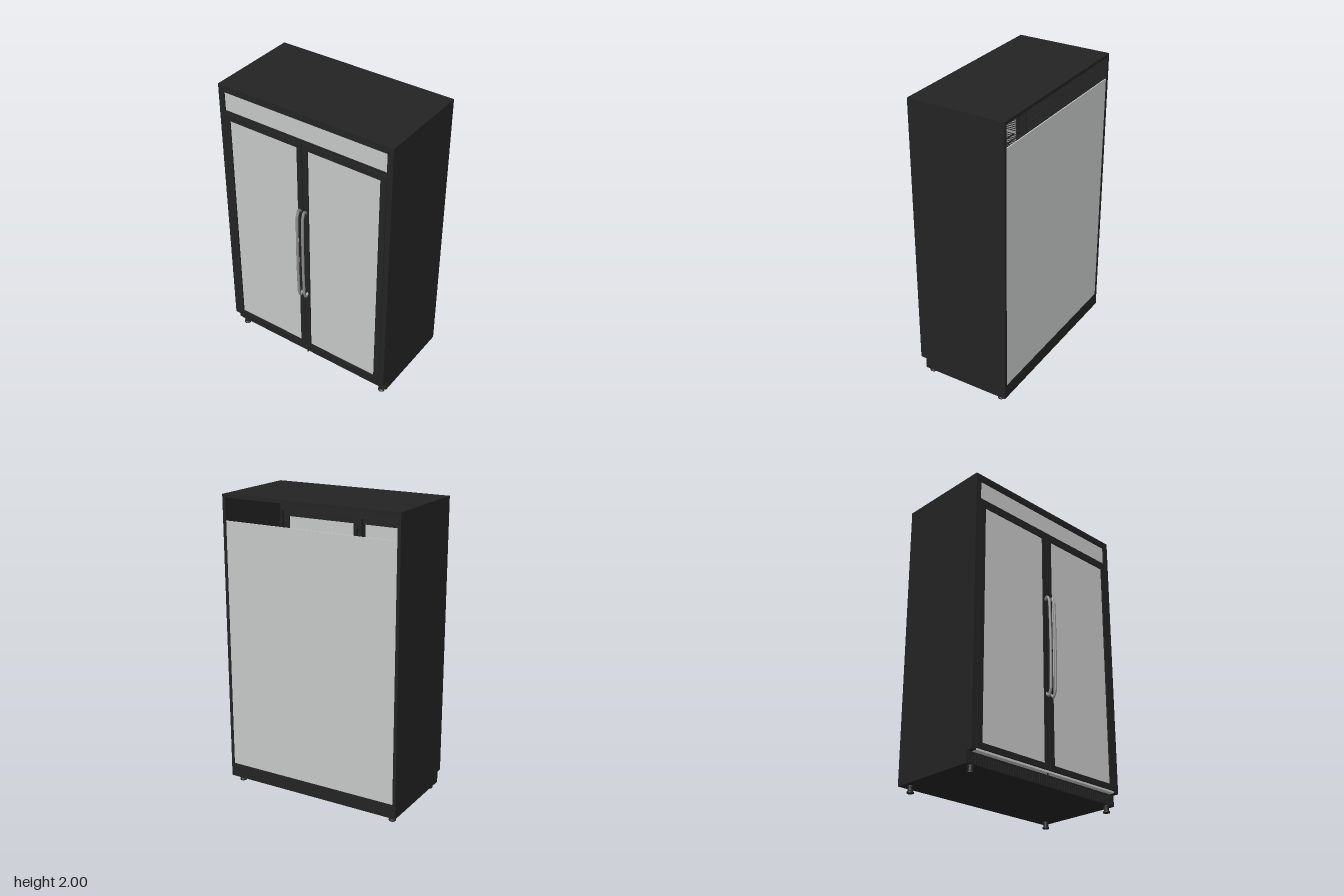
import * as THREE from 'three';

const black = new THREE.MeshStandardMaterial({ color: 0x232323 });
black.name = 'black painted steel';
const pale = new THREE.MeshStandardMaterial({ color: 0xc6c8c7 });
pale.name = 'pale glass and panel';
const steel = new THREE.MeshStandardMaterial({ color: 0x8c8d8b });
steel.name = 'brushed steel';

// Box given by its extents along each axis
function box(parent, name, mat, [x0, x1], [y0, y1], [z0, z1]) {
  const mesh = new THREE.Mesh(new THREE.BoxGeometry(x1 - x0, y1 - y0, z1 - z0), mat);
  mesh.position.set((x0 + x1) / 2, (y0 + y1) / 2, (z0 + z1) / 2);
  mesh.name = name;
  parent.add(mesh);
  return mesh;
}

function group(parent, name) {
  const g = new THREE.Group();
  g.name = name;
  parent.add(g);
  return g;
}

// Rectangular frame with an opening, extruded along z
function frame(parent, name, [x0, x1], [y0, y1], [a0, a1], [b0, b1], [z0, z1]) {
  const shape = new THREE.Shape();
  shape.moveTo(x0, y0).lineTo(x1, y0).lineTo(x1, y1).lineTo(x0, y1).closePath();
  const hole = new THREE.Path();
  hole.moveTo(a0, b0).lineTo(a0, b1).lineTo(a1, b1).lineTo(a1, b0).closePath();
  shape.holes.push(hole);
  const mesh = new THREE.Mesh(
    new THREE.ExtrudeGeometry(shape, { depth: z1 - z0, bevelEnabled: false }), black);
  mesh.position.z = z0;
  mesh.name = name;
  parent.add(mesh);
}

function buildCabinet(root) {
  const g = group(root, 'cabinet');
  // Side walls with a notch for the recessed toe kick
  const side = new THREE.Shape();
  [[-0.36, 0.045], [0.265, 0.045], [0.265, 0.12], [0.305, 0.12], [0.305, 2], [-0.36, 2]]
    .forEach(([z, y], i) => (i ? side.lineTo(-z, y) : side.moveTo(-z, y)));
  const wall = new THREE.ExtrudeGeometry(side, { depth: 0.022, bevelEnabled: false });
  wall.rotateY(Math.PI / 2);
  for (const [x, name] of [[-0.635, 'rightWall'], [0.613, 'leftWall']]) {
    const mesh = new THREE.Mesh(wall, black);
    mesh.position.x = x;
    mesh.name = name;
    g.add(mesh);
  }
  box(g, 'roof', black, [-0.613, 0.613], [1.978, 2], [-0.36, 0.305]);
  box(g, 'base', black, [-0.613, 0.613], [0.045, 0.12], [-0.355, 0.25]);
  box(g, 'backRail', black, [-0.613, 0.613], [0.045, 0.14], [-0.36, -0.34]);
  box(g, 'backPanel', pale, [-0.613, 0.613], [0.14, 1.83], [-0.357, -0.35]);
  // Front surround, centre post and the light sill under the doors
  for (const s of [-1, 1]) {
    const x = [0.6 * s, 0.613 * s].sort((a, b) => a - b);
    box(g, 'frontStile', black, x, [0.12, 1.98], [0.26, 0.305]);
  }
  box(g, 'centrePost', black, [-0.03, 0.03], [0.13, 1.8], [0.26, 0.29]);
  box(g, 'doorSill', pale, [-0.6, 0.6], [0.122, 0.136], [0.25, 0.298]);
}

function buildHeader(root) {
  const g = group(root, 'header');
  frame(g, 'headerFrame', [-0.6, 0.6], [1.805, 1.978], [-0.594, 0.594], [1.822, 1.952], [0.27, 0.303]);
  box(g, 'signPanel', pale, [-0.594, 0.594], [1.822, 1.952], [0.288, 0.296]);
  box(g, 'headerBack', black, [-0.6, 0.6], [1.805, 1.978], [0.262, 0.272]);
  box(g, 'upperTrim', black, [-0.6, 0.6], [1.962, 1.972], [0.3, 0.307]);
}

function buildDoor(root, s) {
  const g = group(root, s > 0 ? 'leftDoor' : 'rightDoor');
  const span = (a, b) => (s > 0 ? [a, b] : [-b, -a]);
  frame(g, 'doorFrame', span(0.002, 0.6), [0.135, 1.8], span(0.04, 0.557), [0.172, 1.762], [0.285, 0.31]);
  box(g, 'doorGlass', pale, span(0.04, 0.557), [0.172, 1.762], [0.294, 0.302]);
  // Bowed pull handle
  const path = [[1.295, 0.305], [1.318, 0.33], [1.27, 0.346], [1.12, 0.35], [0.965, 0.351],
    [0.81, 0.35], [0.66, 0.346], [0.612, 0.33], [0.635, 0.305]]
    .map(([y, z]) => new THREE.Vector3(0.021 * s, y, z));
  const curve = new THREE.CurvePath();
  path.slice(1).forEach((p, i) => curve.add(new THREE.LineCurve3(path[i], p)));
  const handle = new THREE.Mesh(new THREE.TubeGeometry(curve, 72, 0.009, 10), steel);
  handle.name = 'handle';
  g.add(handle);
}

function buildToeKick(root) {
  const g = group(root, 'toeKick');
  box(g, 'kickPanel', black, [-0.613, 0.613], [0.045, 0.12], [0.25, 0.258]);
  for (let i = 0; i <= 60; i++) {
    const x = -0.6 + i * 0.02;
    box(g, 'kickSlat', black, [x - 0.005, x + 0.005], [0.053, 0.112], [0.258, 0.265]);
  }
  for (const y of [0.045, 0.112]) box(g, 'kickRail', black, [-0.613, 0.613], [y, y + 0.008], [0.256, 0.266]);
  box(g, 'doorStop', black, [-0.004, 0.004], [0.06, 0.135], [0.286, 0.29]);
}

function buildShelves(root) {
  const g = group(root, 'interior');
  for (const x of [-0.59, 0, 0.59]) {
    for (const z of [-0.32, 0.23]) box(g, 'shelfPost', black, [x - 0.01, x + 0.01], [0.12, 1.74], [z, z + 0.015]);
  }
  for (const y of [0.45, 0.74, 1.03, 1.32, 1.61]) {
    const shelf = group(g, 'wireShelf');
    for (const s of [-1, 1]) {
      const cx = 0.297 * s;
      for (let i = 0; i <= 22; i++) {
        const x = cx - 0.275 + i * 0.025;
        box(shelf, 'shelfWire', black, [x - 0.002, x + 0.002], [y, y + 0.004], [-0.32, 0.24]);
      }
      for (const z of [-0.32, -0.04, 0.24]) {
        box(shelf, 'shelfBar', black, [cx - 0.28, cx + 0.28], [y - 0.006, y], [z - 0.003, z + 0.003]);
      }
    }
  }
}

function buildFeet(root) {
  // Levelling foot: threaded stem on a flared pad
  const profile = [[0, 0], [0.023, 0], [0.023, 0.008], [0.017, 0.013], [0.017, 0.035], [0.021, 0.035], [0.021, 0.046]]
    .map(([r, y]) => new THREE.Vector2(r, y));
  const foot = new THREE.LatheGeometry(profile, 16).toNonIndexed();
  foot.computeVertexNormals();
  for (const x of [-0.585, 0.585]) {
    for (const z of [-0.3, 0.243]) {
      const mesh = new THREE.Mesh(foot, black);
      mesh.position.set(x, 0, z);
      mesh.name = 'foot';
      root.add(mesh);
    }
  }
}

export function createModel() {
  const root = new THREE.Group();
  root.name = 'displayRefrigerator';
  buildCabinet(root);
  buildHeader(root);
  buildDoor(root, 1);
  buildDoor(root, -1);
  buildToeKick(root);
  buildShelves(root);
  buildFeet(root);
  return root;
}
